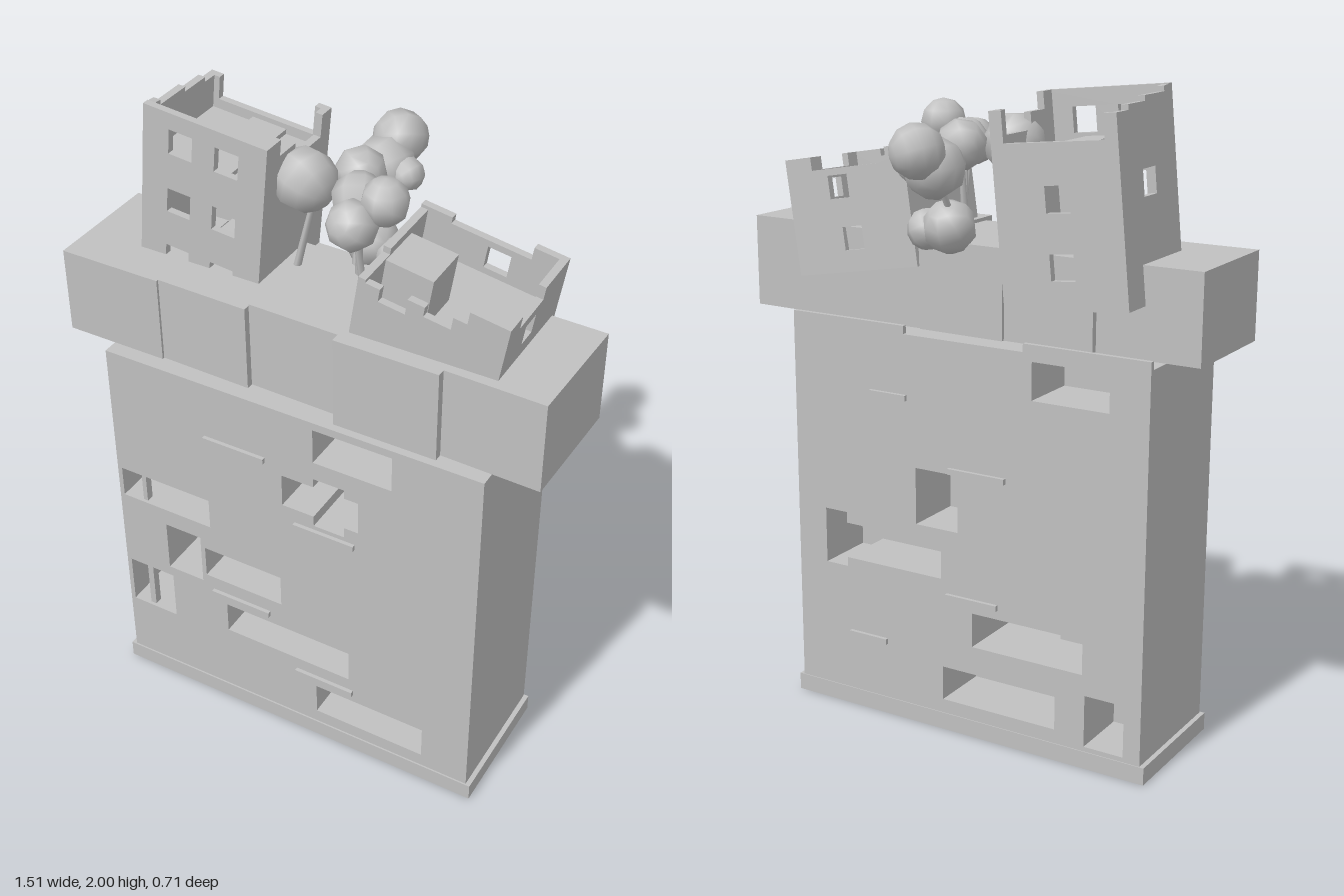
import * as THREE from 'three';

const stone = new THREE.MeshStandardMaterial({ color: 0xc0c0c0 });
stone.name = 'stone grey';

// Adds a named mesh to a parent
function add(parent, name, geo, x = 0, y = 0, z = 0) {
  const m = new THREE.Mesh(geo, stone);
  m.name = name;
  m.position.set(x, y, z);
  parent.add(m);
  return m;
}

// Box given by its limits
function block(parent, name, x0, x1, y0, y1, z0, z1) {
  return add(parent, name, new THREE.BoxGeometry(x1 - x0, y1 - y0, z1 - z0),
    (x0 + x1) / 2, (y0 + y1) / 2, (z0 + z1) / 2);
}

const rect = (x0, x1, y0, y1) => [[x0, y0], [x1, y0], [x1, y1], [x0, y1]];
const square = (x, y, s) => rect(x - s / 2, x + s / 2, y - s / 2, y + s / 2);

// Extruded plate with openings
function plate(outline, holes, depth) {
  const v = (pts) => pts.map(([x, y]) => new THREE.Vector2(x, y));
  const shape = new THREE.Shape(v(outline));
  for (const h of holes) shape.holes.push(new THREE.Path(v(h)));
  return new THREE.ExtrudeGeometry(shape, { depth, bevelEnabled: false });
}

function buildCliff(root) {
  const g = new THREE.Group();
  g.name = 'slab';
  root.add(g);
  const face = rect(-0.625, 0.595, 0, 1.25);

  // Openings of the front layer
  const front = [
    rect(0.07, 0.32, 1.11, 1.225),
    [[-0.035, 0.91], [0.07, 0.91], [0.07, 0.875], [0.17, 0.875], [0.17, 0.91], [0.215, 0.91],
      [0.215, 1.02], [0.17, 1.02], [0.17, 1.05], [0.07, 1.05], [0.07, 1.02], [-0.035, 1.02]],
    rect(-0.61, -0.295, 0.71, 0.815),
    rect(-0.46, -0.335, 0.475, 0.65),
    rect(-0.32, -0.05, 0.505, 0.615),
    rect(-0.61, -0.45, 0.27, 0.44),
    rect(-0.25, 0.185, 0.3, 0.41),
    rect(0.07, 0.44, 0.1, 0.21),
  ];
  // Openings of the back layer
  const back = [
    rect(-0.5, -0.25, 1.11, 1.225),
    rect(0, 0.15, 0.66, 0.84),
    [[0.06, 0.5], [0.41, 0.5], [0.41, 0.47], [0.49, 0.47], [0.49, 0.65], [0.41, 0.65],
      [0.41, 0.615], [0.06, 0.615]],
    rect(-0.43, -0.05, 0.3, 0.41),
    rect(-0.34, 0.055, 0.1, 0.21),
    rect(-0.57, -0.44, 0.07, 0.235),
  ];
  add(g, 'frontLayer', plate(face, front, 0.195), 0, 0, 0.14);
  add(g, 'middleLayer', plate(face, [rect(-0.25, -0.05, 0.3, 0.41)], 0.03), 0, 0, 0.11);
  add(g, 'backLayer', plate(face, back, 0.195), 0, 0, -0.085);

  // Window posts
  block(g, 'post', -0.545, -0.53, 0.71, 0.815, 0.3, 0.325);
  block(g, 'post', -0.555, -0.535, 0.27, 0.44, 0.3, 0.325);

  // Foot and raised rim at the back
  block(g, 'foot', -0.64, 0.61, 0, 0.055, -0.088, 0.34);
  block(g, 'backRim', -0.625, -0.22, 1.25, 1.275, -0.085, -0.07);
  block(g, 'backRim', 0.19, 0.595, 1.25, 1.275, -0.085, -0.07);

  // Narrow ledges: front x range, back x range, height
  const ledges = [
    [-0.295, -0.09, 0.18, 0.31, 1.055], [0.005, 0.205, -0.165, 0.03, 0.852],
    [-0.295, -0.09, -0.14, 0.04, 0.448], [0, 0.2, 0.26, 0.4, 0.248],
  ];
  for (const [a, b, c, d, y] of ledges) {
    block(g, 'frontLedge', a, b, y - 0.009, y + 0.009, 0.33, 0.347);
    block(g, 'backLedge', c, d, y - 0.009, y + 0.009, -0.097, -0.08);
  }
}

// Row of big blocks: x0, x1, top, back, front, turn
function buildBlocks(root) {
  const rows = [
    [-0.76, -0.44, 1.535, -0.06, 0.31, 0],
    [-0.44, -0.15, 1.535, -0.07, 0.305, -0.02],
    [-0.15, 0.135, 1.54, -0.075, 0.29, -0.02],
    [0.135, 0.45, 1.55, -0.065, 0.333, 0],
    [0.45, 0.75, 1.55, -0.055, 0.312, -0.025],
  ];
  for (const [x0, x1, top, z0, z1, turn] of rows) {
    block(root, 'topBlock', x0, x1, 1.27, top, z0, z1).rotation.y = turn;
  }
}

// Four walls of a roofless house; each wall has an outline and openings
function buildHouse(root, name, w, d, walls) {
  const g = new THREE.Group();
  g.name = name;
  root.add(g);
  const t = 0.022;
  add(g, 'frontWall', plate(...walls.front, t), 0, 0, d / 2 - t);
  add(g, 'backWall', plate(...walls.back, t), 0, 0, -d / 2);
  // Side outlines run along z, from back (-) to front (+)
  for (const [side, x] of [['left', w / 2 - t], ['right', -w / 2]]) {
    const geo = plate(...walls[side], t);
    geo.rotateY(-Math.PI / 2);
    geo.translate(t, 0, 0);
    add(g, side + 'Wall', geo, x, 0, 0);
  }
  return g;
}

function buildTower(root) {
  const w = 0.39, d = 0.34, a = w / 2, b = d / 2, s = 0.075;
  const pair = (y) => [square(-0.074, y, s), square(0.072, y, s)];
  const g = buildHouse(root, 'tallHouse', w, d, {
    front: [rect(-a, a, 0, 0.58), [...pair(0.492), ...pair(0.306), ...pair(0.12)]],
    back: [[[-a, 0], [a, 0], [a, 0.55], [a - 0.04, 0.55], [a - 0.04, 0.46], [-a + 0.04, 0.46],
      [-a + 0.04, 0.53], [-a, 0.53]], [square(0, 0.306, s), square(0, 0.12, s)]],
    left: [[[-b, 0], [b, 0], [b, 0.58], [0.1, 0.58], [0.1, 0.53], [0.02, 0.53], [0.02, 0.48],
      [-0.12, 0.48], [-0.12, 0.55], [-b, 0.55]], []],
    right: [[[-b, 0], [b, 0], [b, 0.58], [0.12, 0.575], [0.12, 0.56], [0, 0.56], [0, 0.545],
      [-0.1, 0.545], [-0.1, 0.53], [-b, 0.53]], [square(0, 0.33, s)]],
  });
  block(g, 'roof', -a + 0.02, a - 0.02, 0.41, 0.43, -b + 0.02, b - 0.02);
  block(g, 'roofStep', -0.04, 0.07, 0.43, 0.445, -b + 0.02, b - 0.02);
  block(g, 'floor', -a + 0.01, a - 0.01, 0.005, 0.02, -b + 0.01, b - 0.01);
  g.position.set(-0.396, 1.403, 0.012);
  g.rotation.z = -0.1;
}

function buildLowHouse(root) {
  const w = 0.43, d = 0.36, a = w / 2, b = d / 2, s = 0.07;
  const g = buildHouse(root, 'lowHouse', w, d, {
    front: [[[-a, 0], [a, 0], [a, 0.35], [0.1, 0.35], [0.1, 0.31], [0.06, 0.31], [0.06, 0.27],
      [-0.02, 0.27], [-0.02, 0.3], [-0.07, 0.3], [-0.07, 0.25], [-0.15, 0.25], [-0.15, 0.29],
      [-a, 0.29]], []],
    back: [[[-a, 0], [a, 0], [a, 0.35], [0.12, 0.35], [0.12, 0.31], [-0.12, 0.31],
      [-0.12, 0.33], [-a, 0.33]], [square(0.03, 0.255, s), square(0, 0.1, s)]],
    left: [[[-b, 0], [b, 0], [b, 0.35], [0.11, 0.35], [0.11, 0.31], [-0.03, 0.31],
      [-0.03, 0.35], [-b, 0.35]], [square(0.03, 0.25, 0.06)]],
    right: [[[-b, 0], [b, 0], [b, 0.3], [0.05, 0.3], [0.05, 0.32], [-b, 0.32]], []],
  });
  block(g, 'roof', -a + 0.02, a - 0.02, 0.18, 0.2, -b + 0.02, b - 0.02);
  block(g, 'floor', -a + 0.01, a - 0.01, 0.005, 0.02, -b + 0.01, b - 0.01);
  block(g, 'roofBox', -0.165, -0.025, 0.2, 0.355, 0, 0.14);
  g.position.set(0.349, 1.415, 0.095);
  g.rotation.set(0.04, 0, -0.17);
}

// Round tree crowns on thin leaning trunks
function buildTrees(root) {
  const g = new THREE.Group();
  g.name = 'trees';
  root.add(g);
  const crowns = [
    [0.165, 1.86, 0.105, 0.068], [0.1, 1.8, 0.165, 0.072], [0.055, 1.81, 0.05, 0.075],
    [-0.11, 1.82, 0.05, 0.092], [0, 1.82, -0.06, 0.075], [0, 1.77, -0.2, 0.09],
    [0.005, 1.825, -0.28, 0.08], [0.075, 1.77, -0.19, 0.05], [0.015, 1.59, -0.1, 0.08],
    [0.11, 1.57, -0.07, 0.062],
  ];
  crowns.forEach(([x, y, z, r], i) => {
    add(g, 'crown', new THREE.SphereGeometry(r, 8, 6), x, y, z).rotation.set(i * 0.7, i, i * 0.4);
  });
  const trunks = [
    [-0.15, 1.5, 0.05, -0.08, 1.78, 0.05], [0.11, 1.5, 0.1, 0.1, 1.78, 0.15],
    [0.03, 1.5, 0, 0.05, 1.78, 0.04], [0, 1.48, -0.03, 0, 1.77, -0.2],
    [0, 1.5, -0.03, 0, 1.78, -0.06], [0.09, 1.74, 0.15, 0.165, 1.85, 0.105],
    [0.05, 1.5, -0.03, 0.1, 1.57, -0.07],
  ];
  for (const [ax, ay, az, bx, by, bz] of trunks) {
    const p = new THREE.Vector3(ax, ay, az), q = new THREE.Vector3(bx, by, bz);
    const dir = q.clone().sub(p);
    const m = add(g, 'trunk', new THREE.CylinderGeometry(0.008, 0.012, dir.length(), 6));
    m.position.copy(p).add(q).multiplyScalar(0.5);
    m.quaternion.setFromUnitVectors(new THREE.Vector3(0, 1, 0), dir.normalize());
  }
}

export function createModel() {
  const root = new THREE.Group();
  root.name = 'cliffVillage';
  buildCliff(root);
  buildBlocks(root);
  buildTower(root);
  buildLowHouse(root);
  buildTrees(root);
  return root;
}
